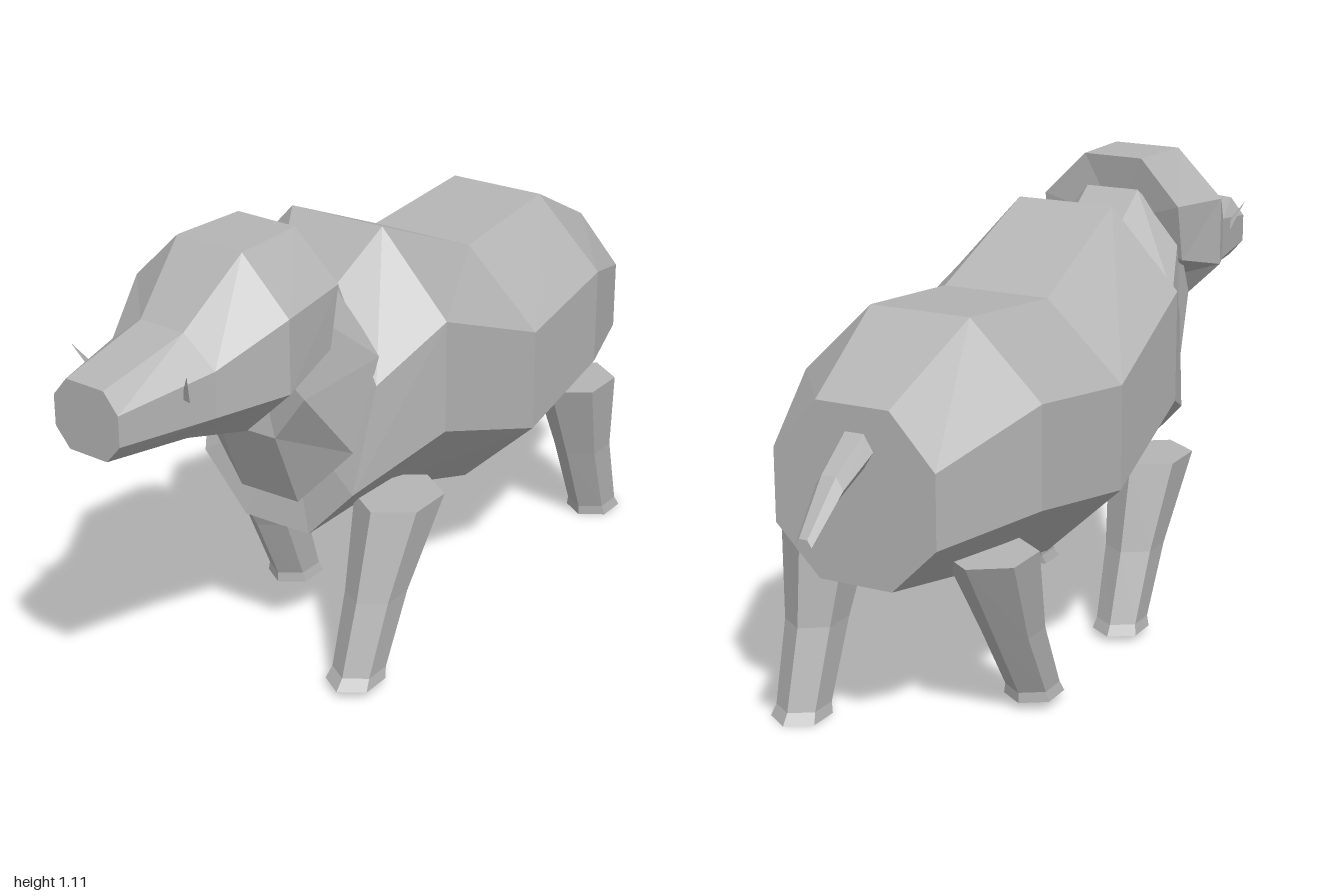
import * as THREE from 'three';

const hide = new THREE.MeshStandardMaterial({ color: 0xb4b4b4, flatShading: true });
hide.name = 'grey hide';

// Closed faceted skin over a row of rings with equal point counts
function loft(name, rings) {
  const pos = [];
  const tri = (a, b, c) => pos.push(...a, ...b, ...c);
  const n = rings[0].length;
  const middle = (r) => [0, 1, 2].map((k) => r.reduce((s, p) => s + p[k], 0) / n);
  const first = rings[0], last = rings[rings.length - 1];
  for (let j = 0; j < n; j++) {
    const k = (j + 1) % n;
    for (let i = 0; i + 1 < rings.length; i++) {
      const a = rings[i], b = rings[i + 1];
      tri(a[j], b[j], b[k]);
      tri(a[j], b[k], a[k]);
    }
    tri(middle(first), first[j], first[k]);
    tri(middle(last), last[k], last[j]);
  }
  const g = new THREE.BufferGeometry();
  g.setAttribute('position', new THREE.Float32BufferAttribute(pos, 3));
  g.computeVertexNormals();
  const mesh = new THREE.Mesh(g, hide);
  mesh.name = name;
  return mesh;
}

// Octagon from four [halfWidth, y, z] levels, top to bottom, around x = cx
function octagon(levels, cx = 0, yaw = 0) {
  const side = (s) => levels.map(([w, y, z]) => [cx + s * w, y, z + yaw * (cx + s * w)]);
  return [...side(1), ...side(-1).reverse()];
}

// Upright octagon at one z
const slice = (z, wTop, wSide, ys, cx, yaw) =>
  octagon(ys.map((y, i) => [i === 0 || i === 3 ? wTop : wSide, y, z]), cx, yaw);

// Hexagonal leg: each ring is [y, z, width radius, depth radius]
function leg(name, x, rows) {
  return loft(name, rows.map(([y, z, rx, rz]) =>
    Array.from({ length: 6 }, (_, i) => {
      const a = Math.PI / 2 + (i * Math.PI) / 3;
      return [x + (rx / 0.866) * Math.cos(a), y, z + rz * Math.sin(a)];
    })));
}

export function createModel() {
  const model = new THREE.Group();
  model.name = 'quadruped';

  // Barrel body, rump to chest
  model.add(loft('body', [
    slice(-0.8, 0.09, 0.2, [0.78, 0.66, 0.49, 0.38]),
    slice(-0.52, 0.125, 0.3, [0.92, 0.75, 0.51, 0.34]),
    slice(-0.18, 0.135, 0.325, [0.89, 0.71, 0.46, 0.28]),
    slice(0.17, 0.125, 0.3, [1.04, 0.85, 0.58, 0.39]),
    octagon([[0.08, 0.93, 0.28], [0.23, 0.74, 0.345], [0.21, 0.49, 0.41], [0.09, 0.36, 0.415]]),
  ]));

  // Neck, flared at the chest
  model.add(loft('neck', [
    octagon([[0.07, 0.92, 0.27], [0.22, 0.8, 0.32], [0.205, 0.59, 0.4], [0.08, 0.45, 0.44]]),
    octagon([[0.07, 1.03, 0.43], [0.17, 0.92, 0.46], [0.17, 0.76, 0.53], [0.08, 0.64, 0.52]]),
  ]));

  // Head and snout, turned slightly to one side
  const yaw = 0.05;
  model.add(loft('head', [
    octagon([[0.08, 1.11, 0.43], [0.19, 1.0, 0.42], [0.19, 0.86, 0.45], [0.08, 0.78, 0.54]], 0, yaw),
    slice(0.62, 0.09, 0.215, [1.11, 0.99, 0.82, 0.7], -0.006, yaw),
    slice(0.77, 0.06, 0.145, [0.97, 0.905, 0.8, 0.73], -0.018, yaw),
    slice(0.997, 0.052, 0.09, [0.915, 0.87, 0.8, 0.757], -0.035, yaw),
  ]));

  // Tusks beside the snout
  for (const s of [1, -1]) {
    const base = new THREE.Vector3(-0.02 + s * 0.105, 0.83, 0.825);
    const tip = new THREE.Vector3(-0.02 + s * 0.155, 0.932, 0.878);
    const dir = tip.clone().sub(base);
    const tusk = new THREE.Mesh(new THREE.ConeGeometry(0.014, dir.length(), 4), hide);
    tusk.name = s > 0 ? 'leftTusk' : 'rightTusk';
    tusk.position.copy(base).add(tip).multiplyScalar(0.5);
    tusk.quaternion.setFromUnitVectors(new THREE.Vector3(0, 1, 0), dir.normalize());
    model.add(tusk);
  }

  // Striding legs: foot height and z centres of foot, ankle, shin, top
  const legs = [
    ['leftFrontLeg', 0.212, 0.015, 0.405, 0.39, 0.32, 0.225],
    ['rightFrontLeg', -0.212, 0.015, 0.065, 0.072, 0.14, 0.225],
    ['leftHindLeg', 0.212, 0, -0.708, -0.698, -0.635, -0.58],
    ['rightHindLeg', -0.212, 0.02, -0.39, -0.398, -0.49, -0.585],
  ];
  for (const [name, x, y, foot, ankle, shin, top] of legs) {
    model.add(leg(name, x, [
      [y, foot, 0.058, 0.076],
      [y + 0.025, ankle, 0.052, 0.068],
      [0.21, shin, 0.06, 0.08],
      [0.42, top, 0.086, 0.117],
    ]));
  }

  // Tapered drooping tail, tip to base
  const tailRows = [[-1, 0.533, 0.02, 0.018], [-0.9, 0.628, 0.035, 0.032], [-0.78, 0.695, 0.048, 0.045]];
  model.add(loft('tail', tailRows.map(([z, y, rx, ry]) =>
    Array.from({ length: 6 }, (_, i) => {
      const a = (i * Math.PI) / 3 + Math.PI / 6;
      return [-0.005 + rx * Math.sin(a), y + ry * Math.cos(a), z];
    }))));

  return model;
}
